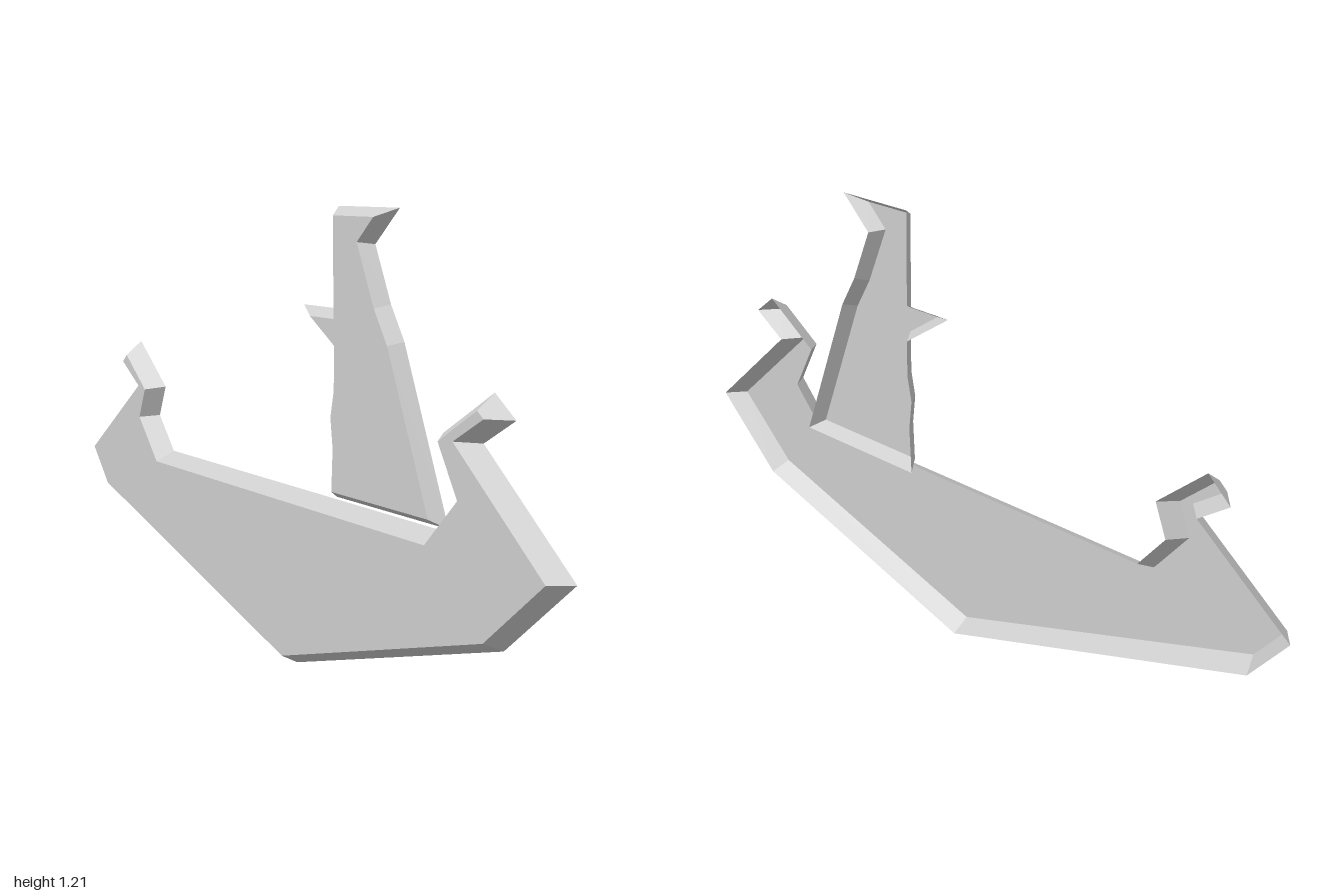
import * as THREE from 'three';

// Move every corner of a counter-clockwise outline inward by d (mitred)
function inset(pts, d) {
  const n = pts.length;
  return pts.map((p, i) => {
    const a = p.clone().sub(pts[(i + n - 1) % n]).normalize();
    const b = pts[(i + 1) % n].clone().sub(p).normalize();
    const na = new THREE.Vector2(-a.y, a.x), nb = new THREE.Vector2(-b.y, b.x);
    return p.clone().addScaledVector(na.clone().add(nb), d / (1 + na.dot(nb)));
  });
}

// Shallow open-backed tray: bevelled walls rising to a smaller flat front
function bevelPlate(name, coords, back, front, d, material) {
  const outer = coords.map(([x, y]) => new THREE.Vector2(x, y));
  const inner = inset(outer, d);
  const n = outer.length, pos = [];
  const put = (p, z) => pos.push(p.x, p.y, z);
  for (let i = 0; i < n; i++) {
    const j = (i + 1) % n;
    put(outer[i], back); put(outer[j], back); put(inner[j], front);
    put(outer[i], back); put(inner[j], front); put(inner[i], front);
  }
  for (const f of THREE.ShapeUtils.triangulateShape(inner, [])) {
    for (const k of f) put(inner[k], front);
  }
  const geo = new THREE.BufferGeometry();
  geo.setAttribute('position', new THREE.Float32BufferAttribute(pos, 3));
  geo.computeVertexNormals();
  const mesh = new THREE.Mesh(geo, material);
  mesh.name = name;
  return mesh;
}

export function createModel() {
  const group = new THREE.Group();
  group.name = 'boatEmblem';
  const grey = new THREE.MeshStandardMaterial({ color: 0xcccccc, side: THREE.DoubleSide });
  grey.name = 'lightGrey';

  // Hull with a hooked prow and stern
  const hull = [
    [0.03, 0], [0.79, 0.245], [0.995, 0.447], [0.71, 0.705], [0.807, 0.77],
    [0.74, 0.823], [0.58, 0.71], [0.65, 0.58], [0.565, 0.48], [-0.575, 0.483],
    [-0.65, 0.58], [-0.615, 0.67], [-0.75, 0.793], [-0.815, 0.73], [-0.73, 0.668],
    [-1, 0.447], [-0.9, 0.315],
  ];
  group.add(bevelPlate('hull', hull, -0.012, 0.04, 0.028, grey));

  // Sail with a pennant at the top and a small spike at the side
  const sail = [
    [0.16, 0.477], [0.575, 0.477], [0.41, 0.9], [0.36, 0.985], [0.3, 1.125],
    [0.387, 1.213], [0.16, 1.213], [0.165, 0.96], [0.02, 0.96], [0.168, 0.86],
    [0.168, 0.76], [0.155, 0.69], [0.165, 0.61],
  ];
  group.add(bevelPlate('sail', sail, -0.04, -0.003, 0.022, grey));
  return group;
}
